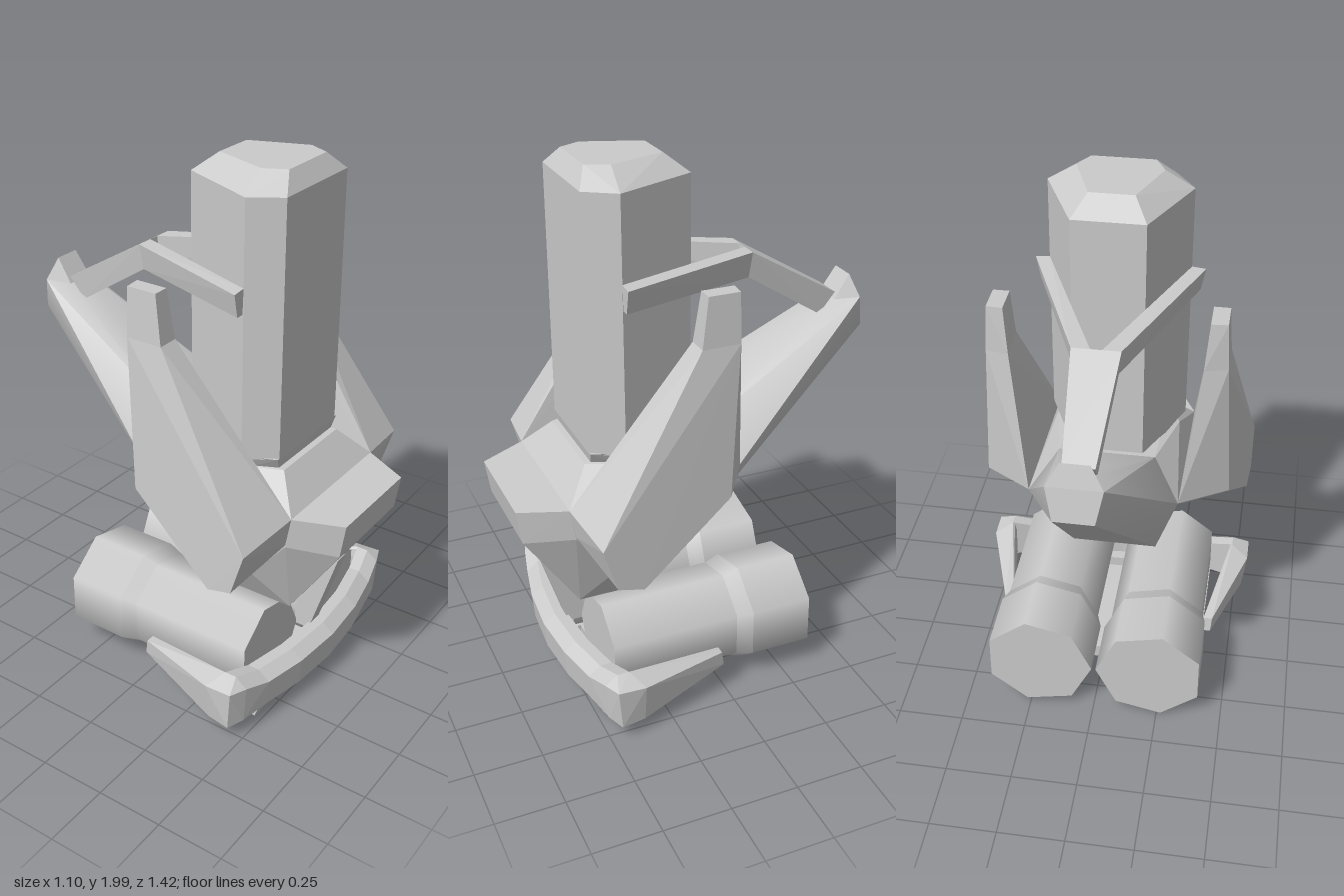
import * as THREE from 'three';
import { ConvexGeometry } from 'three/addons/geometries/ConvexGeometry.js';
import { toCreasedNormals } from 'three/addons/utils/BufferGeometryUtils.js';

const material = new THREE.MeshStandardMaterial({ color: 0xcccccc });

// Convex faceted solid from corner points [x, y, z]
function hull(name, points, crease = 0) {
  let geometry = new ConvexGeometry(points.map((p) => new THREE.Vector3(...p)));
  if (crease) geometry = toCreasedNormals(geometry, crease);
  const mesh = new THREE.Mesh(geometry, material);
  mesh.name = name;
  return mesh;
}

const mirror = (points) => points.map(([x, y, z]) => [-x, y, z]);

// Solid symmetric about x = 0, from the corners of its left half
const symmetric = (name, points, crease) => hull(name, [...points, ...mirror(points)], crease);

// Left and right copies of an off-centre solid
const pair = (name, points) => [hull(name + 'Left', points), hull(name + 'Right', mirror(points))];

export function createModel() {
  const model = new THREE.Group();
  model.name = 'model';

  // Upright column with bevelled cap
  const column = [[0.13, 0.02], [0.26, 0.32], [0.188, 0.43]];
  const cap = [[0.08, 0.1], [0.155, 0.31], [0.115, 0.39]];
  model.add(symmetric('column', [
    ...column.flatMap(([x, z]) => [[x, 0.995, z], [x, 1.935, z]]),
    ...cap.map(([x, z]) => [x, 2, z]),
  ]));

  // Neck and shoulders under the column
  model.add(symmetric('neck', [
    [0.17, 0.94, 0.42], [0.22, 0.94, 0.31], [0.12, 0.94, 0.02],
    [0.2, 1, 0.43], [0.25, 1, 0.31], [0.13, 1, 0.02],
  ]));
  model.add(symmetric('shoulders', [
    [0.28, 0.84, 0.54], [0.28, 0.88, -0.11],
    [0.18, 0.955, 0.445], [0.24, 0.955, 0.3], [0.18, 1, 0],
  ]));

  // Nose and belly
  model.add(symmetric('nose', [
    [0.28, 0.84, 0.54], [0.2, 0.83, 0.71], [0.2, 0.7, 0.69], [0.17, 0.385, 0.48],
    [0.17, 0.385, 0.2], [0.28, 0.72, 0.52], [0.25, 0.53, 0.36], [0.28, 0.88, -0.11],
  ]));

  // Tapering spine and its raised tail
  const tail = [[0.055, 1.36, -0.6], [0.095, 1.37, -0.685], [0.07, 1.25, -0.71]];
  model.add(symmetric('spine', [
    [0.18, 1, 0], [0.28, 0.88, -0.11], [0.17, 0.385, 0.2], ...tail,
  ], 0.65));
  model.add(symmetric('tail', [...tail, [0.05, 1.45, -0.66]]));

  // Side pods: wide lower body and narrow top, as [outer, inner] corner pairs
  const podWaist = [[0.43, 1.43, 0.11], [0.43, 1.43, -0.03], [0.35, 1.43, 0.11], [0.345, 1.43, -0.05]];
  model.add(...pair('podBody', [
    ...podWaist,
    [0.46, 0.87, 0.01], [0.28, 0.88, -0.11],
    [0.52, 0.62, 0.36], [0.28, 0.535, 0.32],
    [0.53, 0.65, 0.46], [0.28, 0.73, 0.52],
    [0.53, 0.81, 0.51], [0.28, 0.84, 0.54],
  ]));
  model.add(...pair('podTip', [
    ...podWaist,
    [0.42, 1.61, 0.085], [0.42, 1.61, -0.03], [0.36, 1.61, 0.085], [0.36, 1.61, -0.035],
  ]));

  // Brace from the tail, forking around the column
  model.add(symmetric('braceStem', [
    [0.085, 1.605, -0.24], [0.075, 1.51, -0.23], [0.055, 1.39, -0.6], [0.05, 1.31, -0.54],
  ]));
  model.add(...pair('braceArm', [
    [0.02, 1.605, -0.24], [0.085, 1.605, -0.24], [0.02, 1.51, -0.23], [0.075, 1.51, -0.23],
    [0.26, 1.63, 0.32], [0.312, 1.625, 0.32], [0.265, 1.54, 0.32], [0.295, 1.54, 0.32],
  ]));

  // Twin seven-sided thrusters: barrel, flare and nozzle
  const sections = [
    ['barrel', 0.43, -0.06, 0.19, 0.19],
    ['flare', -0.06, -0.12, 0.19, 0.21],
    ['nozzle', -0.12, -0.355, 0.21, 0.21],
  ];
  for (const side of [1, -1]) {
    const thruster = new THREE.Group();
    thruster.name = side > 0 ? 'thrusterLeft' : 'thrusterRight';
    const start = THREE.MathUtils.degToRad(side > 0 ? 116 : 244);
    for (const [name, front, back, rFront, rBack] of sections) {
      const geometry = new THREE.CylinderGeometry(
        rFront, rBack, front - back, 7, 1, false, start, Math.PI * 2);
      geometry.rotateX(Math.PI / 2);
      const mesh = new THREE.Mesh(geometry, material);
      mesh.name = name;
      mesh.position.z = (front + back) / 2;
      thruster.add(mesh);
    }
    thruster.position.set(side * 0.218, 0.214, 0);
    model.add(thruster);
  }

  // Thin fin linking the nose to the base
  model.add(symmetric('linkFin', [
    [0.03, 0.55, 0.595], [0.03, 0.2, 0.485], [0.03, 0.2, 0.42], [0.03, 0.42, 0.44],
  ]));

  // Underside plate, narrower tongue and front tines
  const slabs = [
    ['basePlate', 0, 0.78, 0.16, 0.4], ['baseTongue', 0, 0.52, -0.1, 0.16],
    ...[-0.34, -0.13, 0.13, 0.34].map((x) => ['baseTine', x, 0.1, 0.4, 0.46]),
  ];
  for (const [name, x, width, back, front] of slabs) {
    const plate = new THREE.Mesh(new THREE.BoxGeometry(width, 0.055, front - back), material);
    plate.name = name;
    plate.position.set(x, 0.05, (front + back) / 2);
    model.add(plate);
  }
  model.add(symmetric('baseLip', [
    [0.39, 0.025, 0.44], [0.39, 0.025, 0.48], [0.39, 0.085, 0.44], [0.39, 0.085, 0.5],
  ]));

  // Bowed bumper, one convex piece between neighbouring stations [x, front z, top, bottom]
  const stations = [
    [0, 0.575, 0.225, 0.085], [0.2, 0.56, 0.225, 0.085],
    [0.37, 0.525, 0.225, 0.085], [0.48, 0.5, 0.255, 0.075],
  ];
  const slice = ([x, z, top, bottom]) => [
    [x, top - 0.035, z], [x, bottom, z - 0.01], [x, top, z - 0.045],
    [x, top, z - 0.09], [x, bottom, z - 0.09],
  ];
  for (let i = 0; i < stations.length - 1; i++) {
    model.add(...pair('bumper', [...slice(stations[i]), ...slice(stations[i + 1])]));
  }

  // Swept-back spikes at the bumper ends
  model.add(...pair('bumperSpike', [
    ...slice(stations[3]),
    [0.548, 0.225, 0.475], [0.54, 0.065, 0.46], [0.548, 0.22, 0.37], [0.53, 0.07, 0.37],
    [0.43, 0.185, 0.02], [0.425, 0.125, 0.01], [0.395, 0.185, 0.02], [0.395, 0.125, 0.01],
  ]));

  return model;
}
